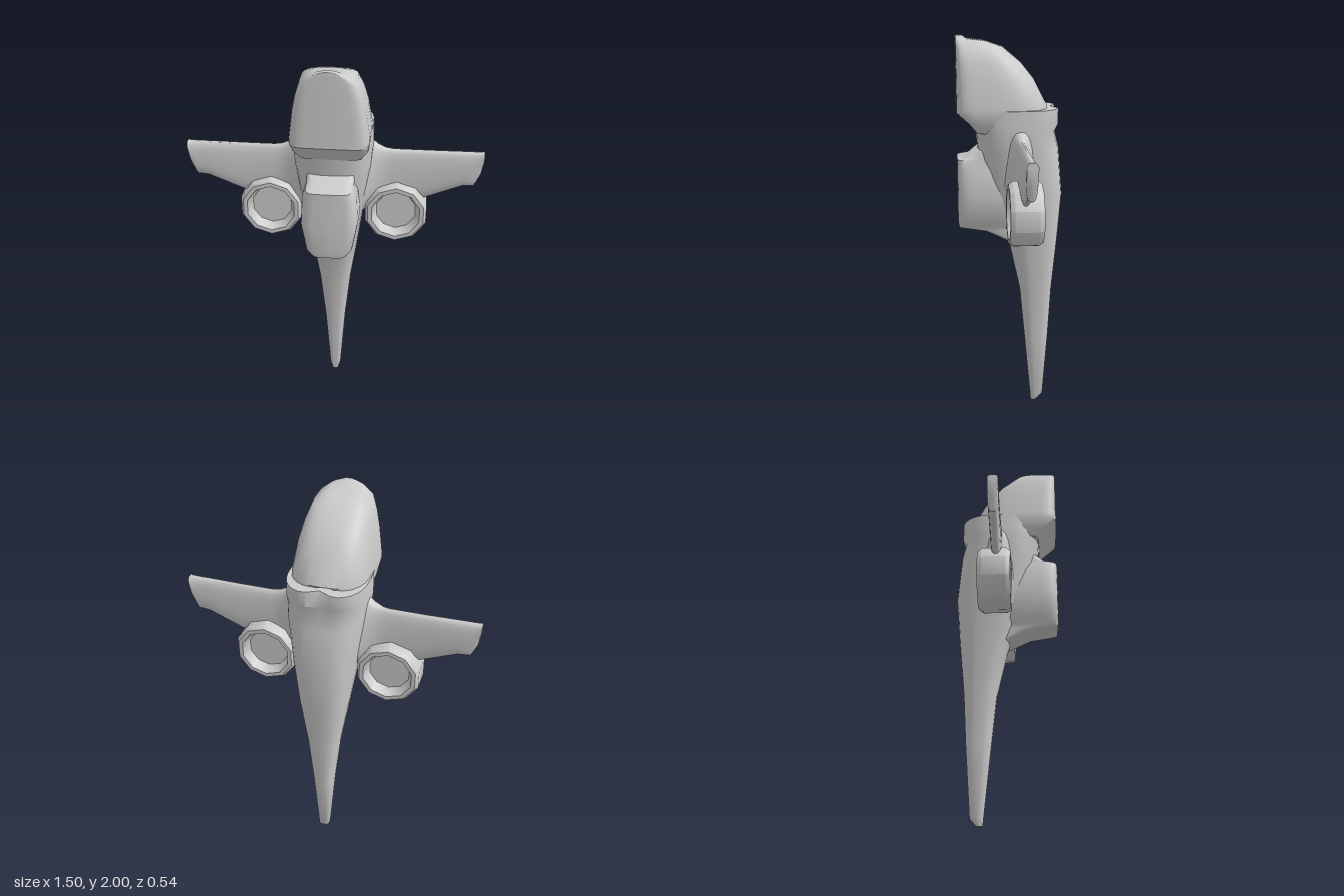
import * as THREE from 'three';
import { toCreasedNormals } from 'three/addons/utils/BufferGeometryUtils.js';

const material = new THREE.MeshStandardMaterial({ color: 0xcccccc });
const { lerp, smoothstep } = THREE.MathUtils;

// Superellipse power: larger p gives a squarer outline
const power = (v, p) => Math.sign(v) * Math.pow(Math.abs(v), 2 / p);

// Skin a list of rings (arrays of Vector3) and close both ends
function loft(rings, crease) {
  const n = rings[0].length;
  const points = rings.flat();
  const index = [];
  for (let i = 0; i < rings.length - 1; i++) {
    for (let j = 0; j < n; j++) {
      const a = i * n + j, c = i * n + (j + 1) % n;
      index.push(a, a + n, c, c, a + n, c + n);
    }
  }
  for (const r of [0, rings.length - 1]) {
    const centre = new THREE.Vector3();
    rings[r].forEach((p) => centre.addScaledVector(p, 1 / n));
    const m = points.push(centre) - 1;
    for (let j = 0; j < n; j++) {
      const a = r * n + j, b = r * n + (j + 1) % n;
      if (r === 0) index.push(m, a, b);
      else index.push(m, b, a);
    }
  }
  const geometry = new THREE.BufferGeometry().setFromPoints(points);
  geometry.setIndex(index);
  return toCreasedNormals(geometry, crease);
}

function ring(count, place) {
  return Array.from({ length: count }, (_, j) => {
    const t = (j / count) * Math.PI * 2;
    return place(Math.cos(t), Math.sin(t));
  });
}

// Body part from level sections: height, front z, back z, half width
function body(sections, squareness) {
  return loft(sections.map(([y, front, back, width]) => ring(32, (c, s) => {
    const p = s >= 0 ? squareness : 2.8;
    const u = power(c, p), v = power(s, p);
    // short groove down the middle of the spine
    const groove = v < 0 ? 0.045 * smoothstep(y, 1.53, 1.64) * Math.max(0, 1 - Math.abs(u) * 2.5) : 0;
    const z = lerp(back, front, (v + 1) / 2) + (y < 1.65 ? groove : 0);
    return new THREE.Vector3(width * u, y, z);
  })), 0.75);
}

// Long hull tapering down to the tail tip
const hull = () => body([
  [0, -0.115, -0.145, 0.016],
  [0.04, -0.112, -0.18, 0.03],
  [0.4, -0.077, -0.205, 0.056],
  [0.67, -0.05, -0.22, 0.084],
  [0.94, 0.01, -0.245, 0.125],
  [1.2, 0.12, -0.266, 0.16],
  [1.44, 0.17, -0.245, 0.192],
  [1.53, 0.178, -0.223, 0.2],
  [1.57, 0.19, -0.245, 0.2],
  [1.645, 0.2, -0.245, 0.198],
], 2.8);

// Flat-faced upper head with a domed back
const head = () => body([
  [1.53, 0.178, -0.16, 0.16],
  [1.57, 0.21, -0.17, 0.185],
  [1.63, 0.275, -0.185, 0.193],
  [1.655, 0.275, -0.185, 0.193],
  [1.79, 0.275, -0.115, 0.174],
  [1.87, 0.275, -0.05, 0.157],
  [1.945, 0.275, 0.04, 0.132],
  [1.975, 0.275, 0.13, 0.09],
  [1.985, 0.275, 0.22, 0.068],
  [2, 0.275, 0.24, 0.02],
], 7);

// Blunt block projecting from the lower front
const chin = () => body([
  [0.95, 0.01, -0.1, 0.085],
  [1.01, 0.14, -0.1, 0.09],
  [1.03, 0.27, -0.1, 0.092],
  [1.06, 0.275, -0.1, 0.118],
  [1.2, 0.275, -0.1, 0.143],
  [1.34, 0.275, -0.1, 0.135],
  [1.39, 0.275, -0.1, 0.118],
  [1.4, 0.22, -0.1, 0.118],
  [1.44, 0.17, -0.1, 0.12],
], 6);

// Thin wing flaring out where it meets the hull; ribs are x, lower edge
function wing() {
  const ribs = [
    [0.14, 1.14], [0.18, 1.185], [0.22, 1.21], [0.26, 1.225], [0.3, 1.23],
    [0.47, 1.24], [0.65, 1.315], [0.71, 1.32], [0.74, 1.39], [0.75, 1.45],
  ];
  return loft(ribs.map(([x, bottom]) => {
    const flare = Math.max(0, (0.3 - x) / 0.16) ** 2;
    const top = 1.504 + 0.1 * flare;
    const thick = 0.027 + 0.07 * flare;
    return ring(20, (c, s) => new THREE.Vector3(
      x, lerp(bottom, top, (power(c, 2.6) + 1) / 2), -power(s, 2.6) * thick));
  }), 0.8);
}

// Ten-sided engine ring, recessed at both ends
function engine() {
  const rim = [[0.165, 0.06], [0.15, 0.082], [0.128, 0.082], [0.115, 0.045], [0.105, 0.03], [0, 0.03]];
  const upper = rim.map(([r, h]) => new THREE.Vector2(r, h));
  const lower = rim.map(([r, h]) => new THREE.Vector2(r, -h)).reverse();
  const geometry = new THREE.LatheGeometry([...lower, ...upper], 10);
  geometry.rotateX(Math.PI / 2);
  return toCreasedNormals(geometry, 0.7);
}

export function createModel() {
  const model = new THREE.Group();
  model.name = 'spacecraft';
  const add = (name, geometry) => {
    const mesh = new THREE.Mesh(geometry, material);
    mesh.name = name;
    model.add(mesh);
    return mesh;
  };

  add('hull', hull());
  add('head', head());
  add('chin', chin());

  const wingGeometry = wing();
  const engineGeometry = engine();
  for (const [label, side] of [['left', 1], ['right', -1]]) {
    const panel = add(label + 'Wing', wingGeometry);
    panel.position.z = -0.037;
    panel.rotation.y = side > 0 ? 0 : Math.PI;
    add(label + 'Engine', engineGeometry).position.set(side * 0.323, 1.165, -0.047);
  }
  return model;
}
